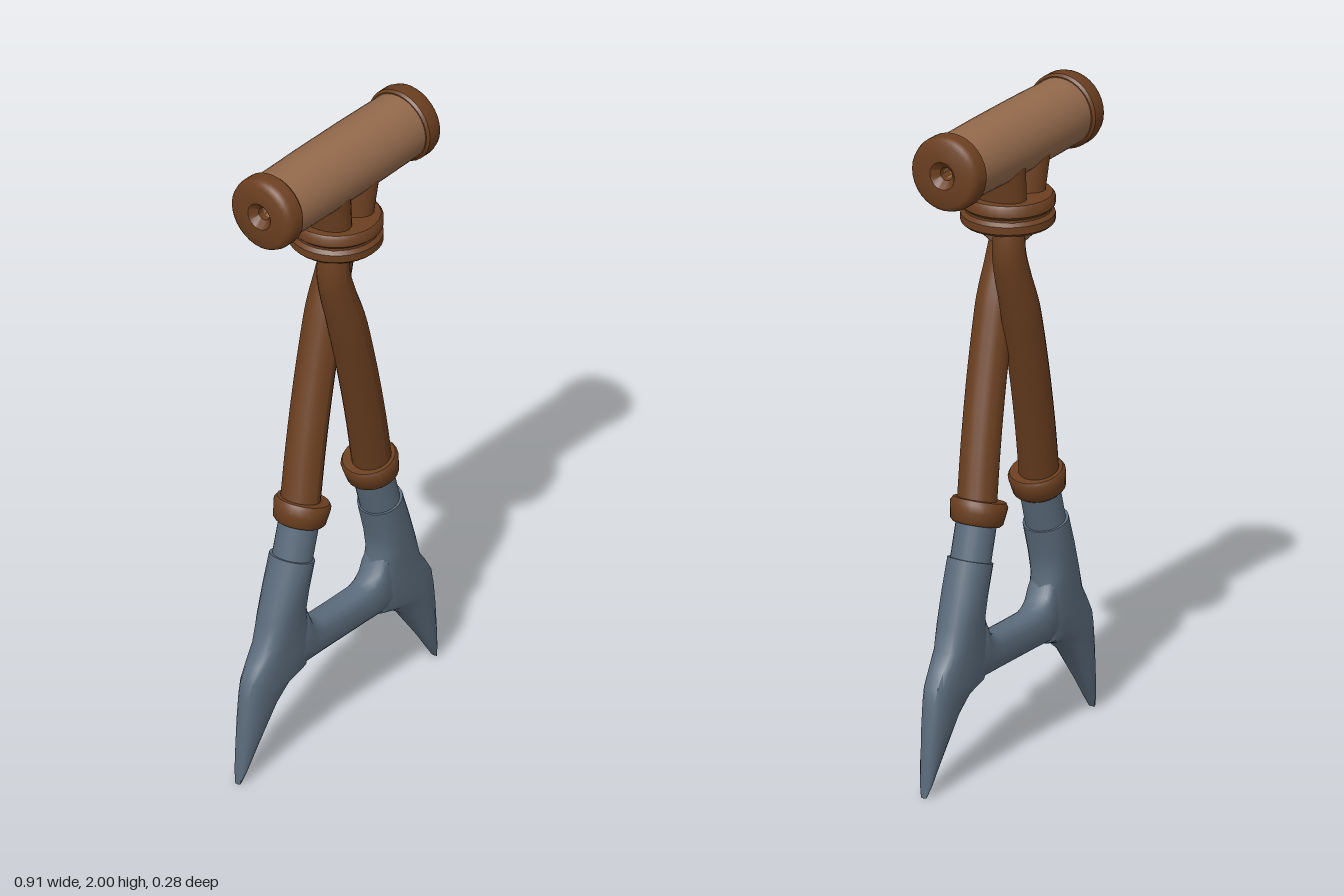
import * as THREE from 'three';
import { toCreasedNormals } from 'three/addons/utils/BufferGeometryUtils.js';

const tan = new THREE.MeshStandardMaterial({ color: 0x946a4c });
tan.name = 'tan grip';
const brown = new THREE.MeshStandardMaterial({ color: 0x6b3f20 });
brown.name = 'brown wood';
const metal = new THREE.MeshStandardMaterial({ color: 0x5b6b7b });
metal.name = 'blue grey metal';

const V = (x, y, z = 0) => new THREE.Vector3(x, y, z);

function add(parent, name, geometry, material) {
  const mesh = new THREE.Mesh(geometry, material);
  mesh.name = name;
  parent.add(mesh);
  return mesh;
}

function lathe(profile, sides = 32) {
  const g = new THREE.LatheGeometry(profile.map(([r, y]) => new THREE.Vector2(r, y)), sides);
  return toCreasedNormals(g, 0.7);
}

// Skin over closed sections; each section is { a, b, d }: two opposite edge points and a half depth in z.
function loft(sections, square, sides = 20) {
  const pos = [], index = [];
  const pow = (v, e) => Math.sign(v) * Math.abs(v) ** e;
  sections.forEach(({ a, b, d, e = square }) => {
    for (let i = 0; i < sides; i++) {
      const t = (i / sides) * Math.PI * 2;
      const p = a.clone().lerp(b, 0.5 - 0.5 * pow(Math.cos(t), e));
      pos.push(p.x, p.y, d * pow(Math.sin(t), e));
    }
  });
  for (let s = 0; s < sections.length - 1; s++) {
    for (let i = 0; i < sides; i++) {
      const j = (i + 1) % sides, p = s * sides, q = p + sides;
      index.push(p + i, p + j, q + i, p + j, q + j, q + i);
    }
  }
  const last = (sections.length - 1) * sides;
  for (let i = 1; i < sides - 1; i++) {
    index.push(0, i + 1, i, last, last + i, last + i + 1);
  }
  const g = new THREE.BufferGeometry();
  g.setAttribute('position', new THREE.Float32BufferAttribute(pos, 3));
  g.setIndex(index);
  // Turn the skin outward if the sections ran the other way
  let volume = 0;
  const A = V(0, 0), B = V(0, 0), C = V(0, 0);
  for (let i = 0; i < index.length; i += 3) {
    A.fromArray(pos, index[i] * 3);
    B.fromArray(pos, index[i + 1] * 3);
    C.fromArray(pos, index[i + 2] * 3);
    volume += A.dot(B.cross(C));
  }
  if (volume < 0) g.setIndex(index.reverse());
  return toCreasedNormals(g, 0.6);
}

// Tube whose radius shrinks towards its start
function taperedTube(points, startRadius, endRadius) {
  const curve = new THREE.CatmullRomCurve3(points);
  const rings = 40, sides = 18;
  const g = new THREE.TubeGeometry(curve, rings, endRadius, sides);
  const p = g.attributes.position, v = V(0, 0);
  for (let i = 0; i < p.count; i++) {
    const u = Math.floor(i / (sides + 1)) / rings;
    const k = Math.min(1, startRadius / endRadius + u * 0.7);
    const c = curve.getPointAt(u);
    v.fromBufferAttribute(p, i).sub(c).multiplyScalar(k).add(c);
    p.setXYZ(i, v.x, v.y, v.z);
  }
  g.computeVertexNormals();
  return g;
}

function buildHandle() {
  const handle = new THREE.Group();
  handle.name = 'handle';
  handle.position.y = 1.886;
  handle.rotation.z = -Math.PI / 2;
  // Grip with a bore along its axis
  add(handle, 'grip', lathe([
    [0.02, -0.31], [0.103, -0.31], [0.106, -0.1], [0.106, 0.1], [0.103, 0.31], [0.02, 0.31], [0.02, -0.31],
  ]), tan);
  // Rounded end caps with a dished hole
  for (const s of [-1, 1]) {
    const cap = add(handle, s > 0 ? 'leftCap' : 'rightCap', lathe([
      [0.02, 0.283], [0.107, 0.283], [0.114, 0.291], [0.114, 0.328], [0.109, 0.343],
      [0.096, 0.352], [0.042, 0.352], [0.02, 0.33], [0.02, 0.283],
    ]), brown);
    if (s < 0) cap.rotation.x = Math.PI;
  }
  return handle;
}

function buildNeck() {
  const neck = new THREE.Group();
  neck.name = 'neck';
  // Two lobes spreading up around the grip
  for (const s of [-1, 1]) {
    const lobe = add(neck, s > 0 ? 'leftLobe' : 'rightLobe',
      new THREE.CylinderGeometry(0.062, 0.056, 0.16, 24), brown);
    lobe.scale.z = 1.56;
    lobe.rotation.z = -s * 0.14;
    lobe.position.set(s * 0.055, 1.765, 0);
  }
  // Double binding ring
  add(neck, 'binding', lathe([
    [0, 1.637], [0.13, 1.637], [0.138, 1.645], [0.138, 1.668], [0.127, 1.679], [0.127, 1.686],
    [0.138, 1.696], [0.138, 1.72], [0.13, 1.73], [0.1, 1.733], [0, 1.733],
  ]), brown);
  add(neck, 'plug', lathe([
    [0, 1.588], [0.06, 1.59], [0.08, 1.61], [0.085, 1.645], [0, 1.645],
  ]), tan);
  return neck;
}

function buildShaft(side) {
  const name = side > 0 ? 'left' : 'right';
  const shaft = new THREE.Group();
  shaft.name = name + 'Shaft';
  // Crossing shaft, one passing in front of the other
  add(shaft, name + 'Pole', taperedTube([
    [-0.066, 1.68, 0.05], [-0.073, 1.58, 0.05], [-0.05, 1.49, 0.05], [-0.018, 1.4, 0.05],
    [0.045, 1.2, 0.04], [0.105, 1.0, 0.024], [0.163, 0.79, 0.004],
  ].map(([x, y, z]) => V(side * x, y, side * z)), 0.045, 0.059), brown);
  // Collar and round metal tang share the shaft's slope
  const lower = new THREE.Group();
  lower.name = name + 'Joint';
  lower.position.set(side * 0.16, 0.793, 0);
  lower.rotation.z = side * 0.28;
  add(lower, name + 'Collar', lathe([
    [0, -0.036], [0.07, -0.036], [0.078, -0.028], [0.082, 0], [0.085, 0.024], [0.078, 0.036], [0, 0.036],
  ], 24), brown);
  const tang = add(lower, name + 'Tang', new THREE.CylinderGeometry(0.06, 0.06, 0.2, 24), metal);
  tang.position.y = -0.1;
  shaft.add(lower);
  return shaft;
}

function buildProng(side) {
  // Outer x, y, inner x, y, half depth, squareness
  const rows = [
    [0.265, 0.677, 0.137, 0.637, 0.068, 1], [0.298, 0.58, 0.163, 0.55, 0.063, 0.85],
    [0.329, 0.485, 0.172, 0.49, 0.058, 0.75], [0.352, 0.413, 0.155, 0.43, 0.054, 0.7],
    [0.385, 0.37, 0.14, 0.36, 0.051, 0.7], [0.415, 0.323, 0.16, 0.287, 0.048, 0.7],
    [0.425, 0.28, 0.23, 0.268, 0.044, 0.75], [0.437, 0.2, 0.283, 0.228, 0.038, 0.8],
    [0.447, 0.1, 0.375, 0.105, 0.028, 0.9], [0.45, 0.04, 0.422, 0.038, 0.02, 0.9],
    [0.453, 0, 0.445, 0.003, 0.01, 1],
  ];
  return loft(rows.map(([ax, ay, bx, by, d, e]) => (
    { a: V(side * ax, ay), b: V(side * bx, by), d, e })), 1);
}

function buildCrossbar() {
  // Bar flaring into both prongs: x, bottom, top, half depth
  const half = [
    [0, 0.29, 0.402, 0.046], [0.1, 0.29, 0.403, 0.046], [0.132, 0.289, 0.416, 0.047],
    [0.155, 0.288, 0.438, 0.048], [0.17, 0.286, 0.475, 0.049], [0.185, 0.284, 0.5, 0.049],
    [0.24, 0.27, 0.44, 0.045],
  ];
  const mirrored = half.slice(1).reverse().map(([x, ...rest]) => [-x, ...rest]);
  return loft([...mirrored, ...half].map(([x, low, high, d]) => (
    { a: V(x, low), b: V(x, high), d })), 0.7);
}

export function createModel() {
  const model = new THREE.Group();
  model.name = 'forkTool';
  model.add(buildHandle(), buildNeck());
  for (const side of [-1, 1]) {
    model.add(buildShaft(side));
    add(model, side > 0 ? 'leftProng' : 'rightProng', buildProng(side), metal);
  }
  add(model, 'crossbar', buildCrossbar(), metal);
  return model;
}
